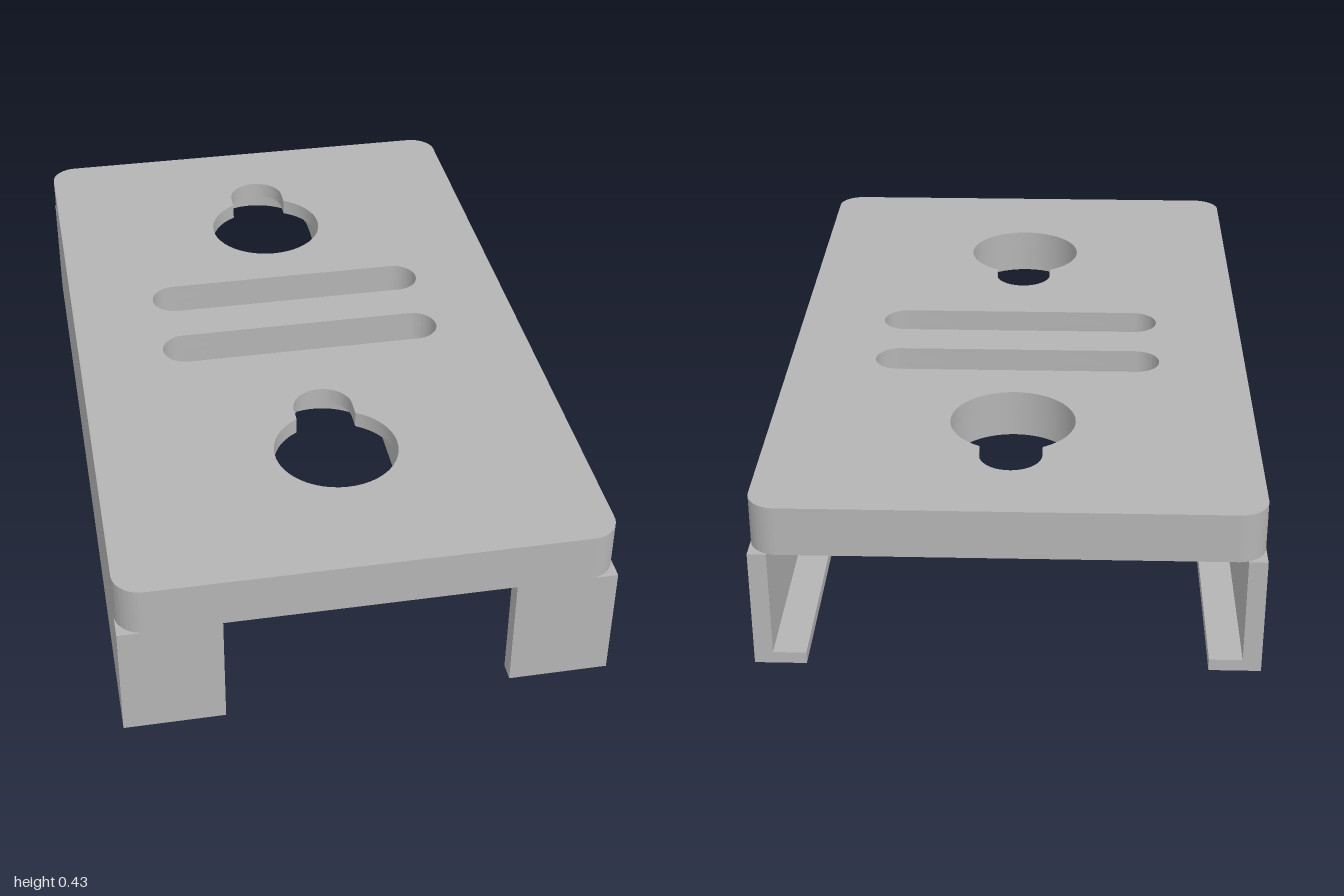
import * as THREE from 'three';
import { toCreasedNormals } from 'three/addons/utils/BufferGeometryUtils.js';

const W = 0.605, L = 1, CORNER = 0.07;
const Y_UNDER = 0.303, Y_LEDGE = 0.385, Y_TOP = 0.428;
const R = 0.157, NECK = 0.077, TRAVEL = 0.178; // keyhole head, neck, offset
const WALL = 0.045, LIP_W = 0.125, LIP_H = 0.03, STOP_W = 0.25;

// Plan shapes use y = -z
function roundedPlan() {
  const s = new THREE.Shape(), x = W - CORNER, y = L - CORNER;
  s.absarc(x, y, CORNER, 0, Math.PI / 2);
  s.absarc(-x, y, CORNER, Math.PI / 2, Math.PI);
  s.absarc(-x, -y, CORNER, Math.PI, Math.PI * 1.5);
  s.absarc(x, -y, CORNER, Math.PI * 1.5, Math.PI * 2);
  s.closePath();
  return s;
}

function keyhole(z) {
  const p = new THREE.Path(), a = Math.asin(NECK / R);
  p.absarc(0, -z, R, Math.PI / 2 - a, Math.PI / 2 + a, true);
  p.absarc(0, -z + TRAVEL, NECK, Math.PI, 0, true);
  p.closePath();
  return p;
}

function recess(z) {
  const p = new THREE.Path(), r = R + 0.004;
  p.absarc(0, -z, r, 0, Math.PI, true);
  p.absarc(0, -z + TRAVEL, r, Math.PI, 0, true);
  p.closePath();
  return p;
}

function ventSlot(z) {
  const p = new THREE.Path(), r = 0.063, x = 0.378 - r;
  p.absarc(x, -z, r, Math.PI / 2, -Math.PI / 2, true);
  p.absarc(-x, -z, r, -Math.PI / 2, -Math.PI * 1.5, true);
  p.closePath();
  return p;
}

function plateLayer(holeAt, y0, y1) {
  const s = roundedPlan();
  s.holes.push(...[-0.55, 0.55].map(holeAt), ...[-0.202, 0.047].map(ventSlot));
  const g = new THREE.ExtrudeGeometry(s, { depth: y1 - y0, bevelEnabled: false, curveSegments: 20 });
  g.rotateX(-Math.PI / 2).translate(0, y0, 0);
  return toCreasedNormals(g, Math.PI / 6);
}

export function createModel() {
  const group = new THREE.Group();
  const grey = new THREE.MeshStandardMaterial({ color: 0xb4b4b4 });
  grey.name = 'grey';
  const add = (name, geometry) => {
    const m = new THREE.Mesh(geometry, grey);
    m.name = name;
    group.add(m);
    return m;
  };

  // Top plate: keyholes above wider screw-head recesses
  add('keyholePlate', plateLayer(keyhole, Y_LEDGE, Y_TOP));
  add('recessPlate', plateLayer(recess, Y_UNDER, Y_LEDGE));

  for (const side of [1, -1]) {
    const label = side > 0 ? 'left' : 'right';
    // Side rail: wall with an inward lip at the bottom
    const profile = new THREE.Shape([
      [W, 0], [W, Y_UNDER], [W - WALL, Y_UNDER],
      [W - WALL, LIP_H], [W - LIP_W, LIP_H], [W - LIP_W, 0],
    ].map(([x, y]) => new THREE.Vector2(side * x, y)));
    const rail = new THREE.ExtrudeGeometry(profile, { depth: 2 * L - WALL, bevelEnabled: false });
    add(label + 'Rail', rail.translate(0, 0, -L));

    // Stop closing the front end of the rail
    add(label + 'FrontStop', new THREE.BoxGeometry(STOP_W, Y_UNDER, WALL))
      .position.set(side * (W - STOP_W / 2), Y_UNDER / 2, L - WALL / 2);
  }
  return group;
}
